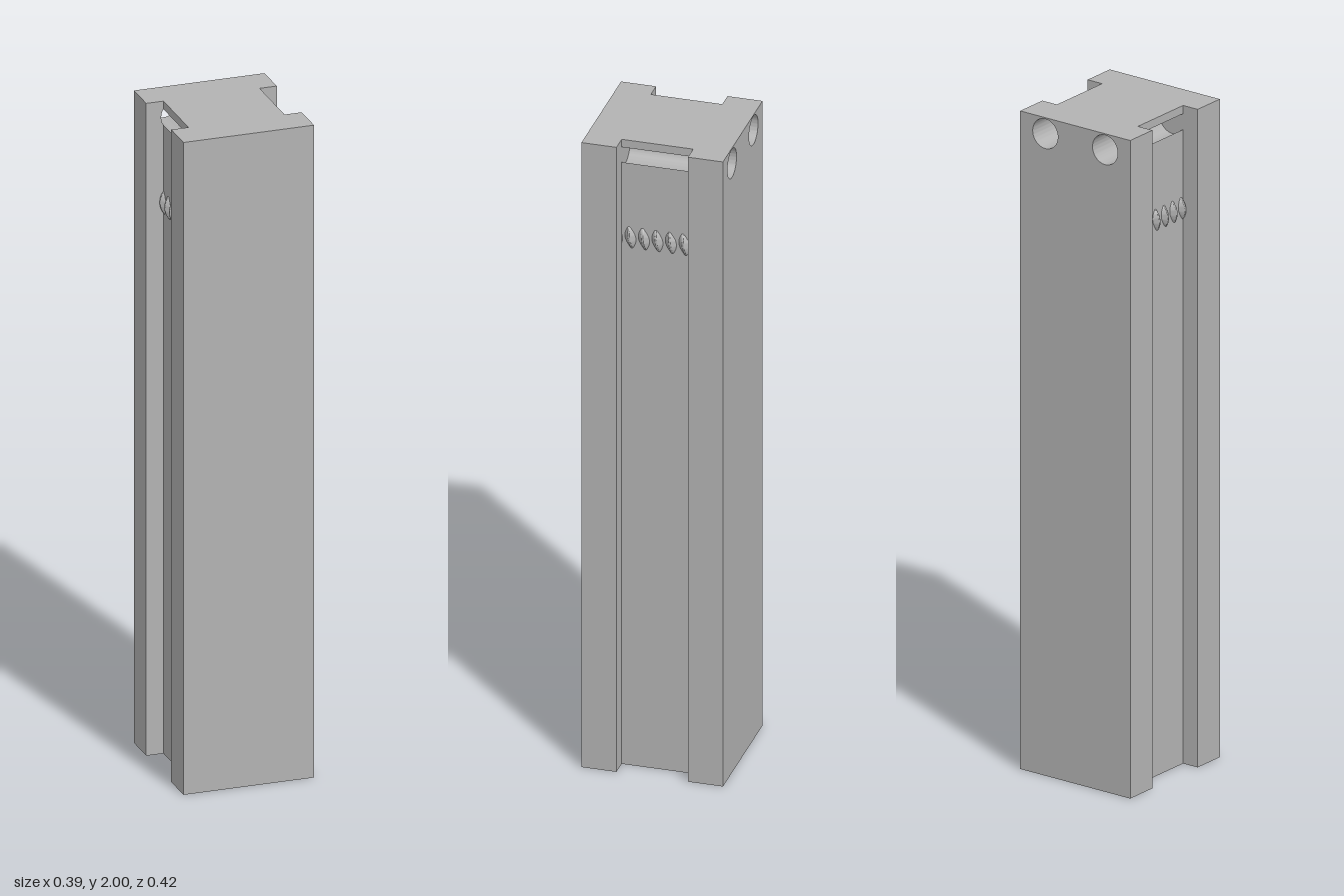
import * as THREE from 'three';
import { toCreasedNormals } from 'three/addons/utils/BufferGeometryUtils.js';

const HEIGHT = 2, HALF_W = 0.197, HALF_D = 0.21;
const CORE_W = 0.145, CORE_D = 0.106;              // half width and depth of the web between the grooves
const BORE_X = 0.107, BORE_Y = 1.951, BORE_R = 0.045;
const SCREW_Y = 1.69, ROOT_R = 0.036, CREST_R = 0.05, PITCH = 0.04;

function extrude(shape, z0, z1) {
  const g = new THREE.ExtrudeGeometry(shape, { depth: z1 - z0, bevelEnabled: false, curveSegments: 40 });
  g.translate(0, 0, z0);
  return toCreasedNormals(g, 0.5);
}

function rectangle(halfWidth) {
  return new THREE.Shape([[-1, 0], [1, 0], [1, HEIGHT], [-1, HEIGHT]]
    .map(([x, y]) => new THREE.Vector2(x * halfWidth, y)));
}

// Web outline whose sides are broken open by the two bores
function coreShape() {
  const a = Math.acos((CORE_W - BORE_X) / BORE_R);
  const s = new THREE.Shape();
  s.moveTo(-CORE_W, 0);
  s.lineTo(CORE_W, 0);
  s.absarc(BORE_X, BORE_Y, BORE_R, -a, a, true);
  s.lineTo(CORE_W, HEIGHT);
  s.lineTo(-CORE_W, HEIGHT);
  s.absarc(-BORE_X, BORE_Y, BORE_R, Math.PI - a, Math.PI + a, true);
  s.closePath();
  return s;
}

// Threaded rod along z: a cylinder whose radius follows a helical ridge
function threadGeometry() {
  const g = new THREE.CylinderGeometry(1, 1, 2 * CORE_D, 48, 126, true);
  g.rotateX(Math.PI / 2);
  const p = g.attributes.position;
  for (let i = 0; i < p.count; i++) {
    const angle = Math.atan2(p.getY(i), p.getX(i));
    const turn = p.getZ(i) / PITCH - angle / (2 * Math.PI);
    const fromCrest = Math.abs(turn - Math.round(turn)) * 2;
    const ridge = THREE.MathUtils.clamp(1.2 - 1.4 * fromCrest, 0, 1);
    const r = ROOT_R + (CREST_R - ROOT_R) * ridge;
    p.setXY(i, r * Math.cos(angle), r * Math.sin(angle));
  }
  return toCreasedNormals(g, 0.5);
}

export function createModel() {
  const model = new THREE.Group();
  const grey = new THREE.MeshStandardMaterial({ color: 0xb2b2b2 });
  grey.name = 'grey';

  const add = (name, geometry) => {
    const mesh = new THREE.Mesh(geometry, grey);
    mesh.name = name;
    model.add(mesh);
    return mesh;
  };

  add('frontFlange', extrude(rectangle(HALF_W), CORE_D, HALF_D));
  add('core', extrude(coreShape(), -CORE_D, CORE_D));

  // Back flange, drilled through by both bores
  const back = rectangle(HALF_W);
  for (const side of [-1, 1]) {
    back.holes.push(new THREE.Path().absarc(side * BORE_X, BORE_Y, BORE_R, 0, Math.PI * 2, true));
  }
  add('backFlange', extrude(back, -HALF_D, -CORE_D));

  // Screws showing through the groove floors
  const thread = threadGeometry();
  for (const [name, side] of [['leftScrew', 1], ['rightScrew', -1]]) {
    add(name, thread).position.set(side * (BORE_X + 0.001), SCREW_Y, 0);
  }
  return model;
}
